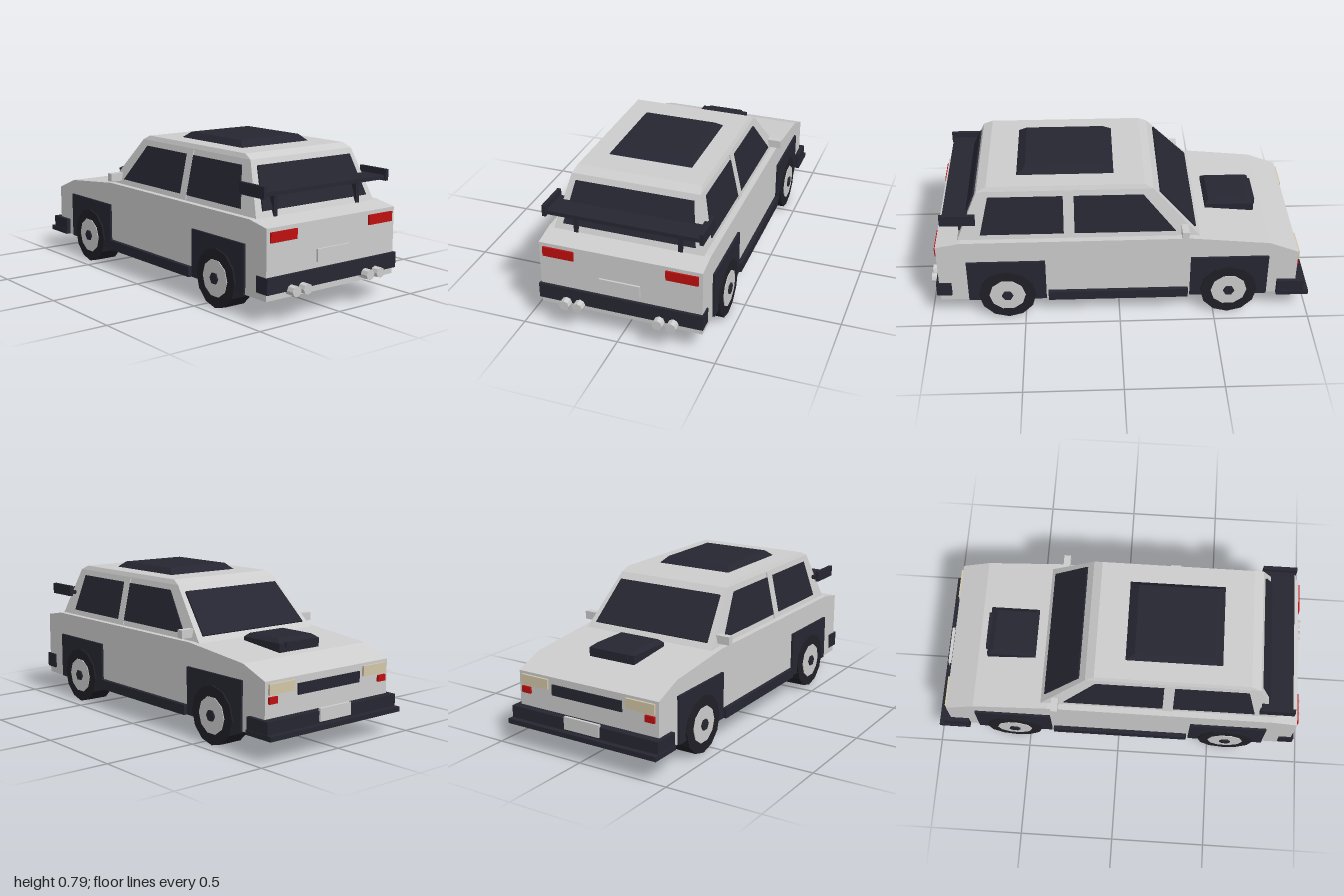
import * as THREE from 'three';
import { ConvexGeometry } from 'three/addons/geometries/ConvexGeometry.js';

const mat = (name, color) => {
  const m = new THREE.MeshStandardMaterial({ color });
  m.name = name;
  return m;
};

export function createModel() {
  const paint = mat('pale grey paint', 0xcccccc);
  const dark = mat('dark trim', 0x262632);
  const tyreBlack = mat('tyre black', 0x1f1f26);
  const red = mat('red lamp', 0xbe0f0f);
  const lamp = mat('headlight cream', 0xd2c6a6);
  const car = new THREE.Group();
  car.name = 'car';

  const add = (name, geo, material) => {
    const m = new THREE.Mesh(geo, material);
    m.name = name;
    car.add(m);
    return m;
  };
  // Box from its minimum and maximum on each axis
  const box = (name, material, x0, x1, y0, y1, z0, z1) => {
    const m = add(name, new THREE.BoxGeometry(Math.abs(x1 - x0), y1 - y0, z1 - z0), material);
    m.position.set((x0 + x1) / 2, (y0 + y1) / 2, (z0 + z1) / 2);
    return m;
  };
  // Flat-faced loft through rectangles [y, halfWidth, zFront, zRear]
  const loft = (name, material, rings) => {
    const pts = [];
    for (const [y, w, z0, z1] of rings)
      for (const x of [-w, w]) for (const z of [z0, z1]) pts.push(new THREE.Vector3(x, y, z));
    return add(name, new ConvexGeometry(pts), material);
  };
  // Thin plate raised from a planar outline along the direction out
  const plate = (name, material, outline, out) => {
    const pts = [];
    for (const p of outline) {
      const v = new THREE.Vector3(...p);
      pts.push(v.clone().add(out), v.clone().addScaledVector(out, -0.3));
    }
    return add(name, new ConvexGeometry(pts), material);
  };

  // Lower body: side profile in (z, y), extruded across the width
  const profile = [[0.944, 0.11], [0.944, 0.455], [0.82, 0.478], [-0.375, 0.478],
    [-0.777, 0.437], [-0.93, 0.376], [-0.93, 0.11]];
  const shape = new THREE.Shape(profile.map(([z, y]) => new THREE.Vector2(z, y)));
  const bodyGeo = new THREE.ExtrudeGeometry(shape, { depth: 0.836, bevelEnabled: false });
  bodyGeo.translate(0, 0, -0.418).rotateY(-Math.PI / 2);
  add('body', bodyGeo, paint);

  // Cabin with chamfered roof edge
  loft('cabin', paint, [[0.47, 0.388, -0.419, 0.834], [0.735, 0.33, -0.175, 0.72], [0.758, 0.32, -0.13, 0.67]]);
  loft('roofVent', dark, [[0.755, 0.22, 0.02, 0.525], [0.79, 0.19, 0.07, 0.477]]);
  loft('hoodScoop', dark, [[0.43, 0.135, -0.725, -0.465], [0.488, 0.135, -0.725, -0.465], [0.507, 0.113, -0.69, -0.485]]);
  box('scoopIntake', dark, -0.1, 0.1, 0.465, 0.492, -0.735, -0.715);

  // Windscreen and rear window
  plate('windscreen', dark, [[-0.345, 0.5, -0.39], [0.345, 0.5, -0.39], [0.31, 0.7, -0.207], [-0.31, 0.7, -0.207]],
    new THREE.Vector3(0, 0.006, -0.007));
  plate('rearWindow', dark, [[-0.34, 0.505, 0.819], [0.34, 0.505, 0.819], [0.302, 0.706, 0.733], [-0.302, 0.706, 0.733]],
    new THREE.Vector3(0, 0.003, 0.008));

  const sideX = (y) => 0.386 - 0.2196 * (y - 0.48);
  const sideWindows = [
    ['rearSideWindow', dark, 0.713, 0.665, 0.285, 0.285, 0.505, 0.705],
    ['frontSideWindow', dark, 0.23, 0.23, -0.123, -0.29, 0.505, 0.705],
    ['doorPillar', paint, 0.283, 0.283, 0.232, 0.232, 0.482, 0.73],
  ];

  for (const s of [-1, 1]) {
    const side = s > 0 ? 'left' : 'right';

    // Side glass and pillar
    for (const [name, m, zLowRear, zTopRear, zTopFront, zLowFront, y0, y1] of sideWindows)
      plate(side + name, m, [[s * sideX(y0), y0, zLowRear], [s * sideX(y1), y1, zTopRear],
        [s * sideX(y1), y1, zTopFront], [s * sideX(y0), y0, zLowFront]], new THREE.Vector3(s * 0.006, 0.0013, 0));

    // Mirrors, skirts and wheel arch panels
    box(side + 'Mirror', paint, s * 0.36, s * 0.447, 0.495, 0.538, -0.354, -0.318);
    box(side + 'Skirt', dark, s * 0.41, s * 0.44, 0.108, 0.16, -0.36, 0.375);
    box(side + 'RearArch', dark, s * 0.41, s * 0.43, 0.112, 0.357, 0.386, 0.794);
    box(side + 'FrontArch', dark, s * 0.41, s * 0.43, 0.112, 0.357, -0.777, -0.37);

    // Wheels: tyre, rim and cap
    for (const z of [0.59, -0.575]) {
      const parts = [['Tyre', tyreBlack, 0.15, 0.12, 12], ['Rim', paint, 0.095, 0.127, 10], ['Cap', dark, 0.03, 0.143, 6]];
      for (const [name, m, r, width, sides] of parts) {
        const geo = new THREE.CylinderGeometry(r, r, width, sides).toNonIndexed().rotateZ(Math.PI / 2);
        geo.computeVertexNormals();
        add(side + (z > 0 ? 'Rear' : 'Front') + name, geo, m).position.set(s * 0.379, 0.15, z);
      }
    }

    // Lamps
    box(side + 'TailLight', red, s * 0.236, s * 0.398, 0.385, 0.435, 0.94, 0.953);
    box(side + 'Headlight', lamp, s * 0.235, s * 0.398, 0.31, 0.362, -0.941, -0.925);
    box(side + 'Indicator', red, s * 0.345, s * 0.398, 0.267, 0.3, -0.941, -0.925);

    // Twin exhausts
    for (const x of [0.207, 0.277]) {
      const geo = new THREE.CylinderGeometry(0.027, 0.027, 0.15, 8).toNonIndexed().rotateX(Math.PI / 2);
      geo.computeVertexNormals();
      add(side + 'Exhaust', geo, paint).position.set(s * x, 0.148, 0.925);
    }

    // Wing supports and end plates
    box(side + 'WingStrut', dark, s * 0.258, s * 0.28, 0.47, 0.595, 0.795, 0.835);
    box(side + 'WingEndPlate', dark, s * 0.388, s * 0.407, 0.583, 0.641, 0.73, 0.91);
  }
  box('wing', dark, -0.39, 0.39, 0.591, 0.611, 0.74, 0.9);

  // Bumpers, grille and blank plates
  box('rearBumper', dark, -0.425, 0.425, 0.144, 0.223, 0.88, 0.96);
  box('frontBumper', dark, -0.44, 0.44, 0.112, 0.197, -0.972, -0.83);
  box('frontLip', dark, -0.445, 0.445, 0.11, 0.135, -1, -0.83);
  box('grille', dark, -0.21, 0.21, 0.285, 0.34, -0.938, -0.925);
  box('frontPlate', paint, -0.105, 0.105, 0.145, 0.21, -0.981, -0.965);
  box('rearPlate', paint, -0.105, 0.105, 0.252, 0.315, 0.94, 0.954);

  return car;
}
